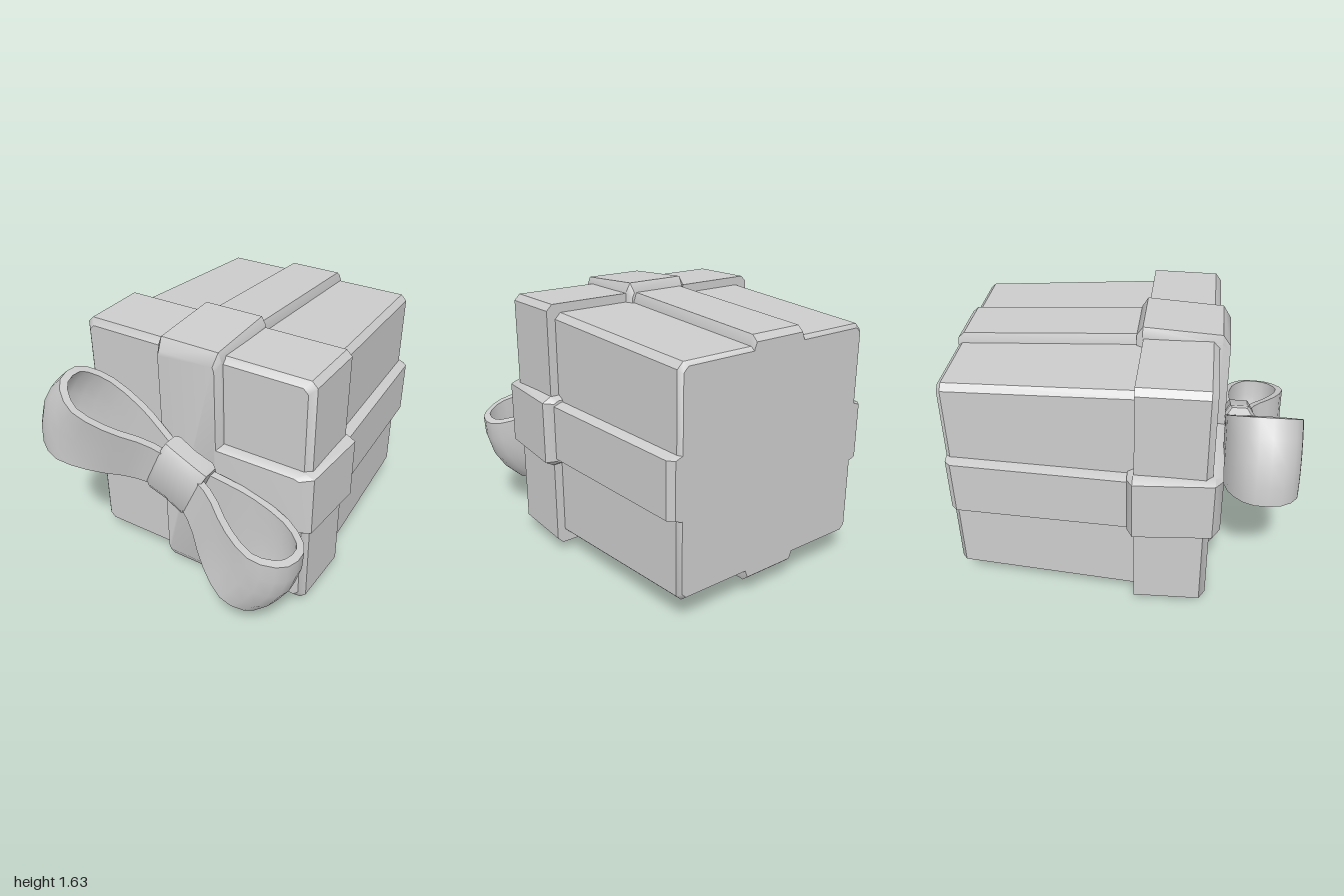
import * as THREE from 'three';
import { toCreasedNormals } from 'three/addons/utils/BufferGeometryUtils.js';

const MID = 0.815; // height of the box axis
const material = new THREE.MeshStandardMaterial({ color: 0xcccccc });

// Skins a list of equal-length rings and closes both ends with fans.
function loft(rings, crease) {
  const n = rings[0].length, pos = [], index = [];
  rings.forEach(r => r.forEach(p => pos.push(...p)));
  for (let i = 0; i < rings.length - 1; i++) {
    for (let j = 0; j < n; j++) {
      const a = i * n + j, b = i * n + (j + 1) % n;
      index.push(a, b, b + n, a, b + n, a + n);
    }
  }
  const last = (rings.length - 1) * n;
  for (let j = 1; j < n - 1; j++) {
    index.push(0, j + 1, j, last, last + j, last + j + 1);
  }
  const g = new THREE.BufferGeometry();
  g.setAttribute('position', new THREE.Float32BufferAttribute(pos, 3));
  g.setIndex(index);
  return toCreasedNormals(g, crease);
}

// Rectangle with cut corners at depth z: half sizes w, h and corner insets cw, ch.
function ring(z, w, h, cw, ch) {
  const x = w - cw, y = h - ch;
  return [[x, h], [-x, h], [-w, y], [-w, -y], [-x, -h], [x, -h], [w, -y], [w, y]]
    .map(([px, py]) => [px, py, z]);
}

function addMesh(parent, name, geometry) {
  const mesh = new THREE.Mesh(geometry, material);
  mesh.name = name;
  parent.add(mesh);
  return mesh;
}

// One bow loop: a crowned band with thickness, swept from the knot out and back.
function bowLoop() {
  const path = new THREE.CatmullRomCurve3([
    [0.06, 0.61], [0.22, 0.585], [0.42, 0.565], [0.68, 0.605], [0.82, 0.72],
    [0.80, 0.89], [0.64, 0.985], [0.43, 0.92], [0.22, 0.78], [0.06, 0.72],
  ].map(([a, z]) => new THREE.Vector3(a, 0, z)));
  const rings = [], steps = 22, across = [-1, -0.55, 0, 0.55, 1], thick = 0.045;
  for (let i = 0; i <= steps; i++) {
    const p = path.getPoint(i / steps), t = path.getTangent(i / steps);
    const w = 0.115 + 0.15 * p.x;
    const crown = 0.06 * THREE.MathUtils.smoothstep(p.x, 0.3, 0.8);
    const side = d => across.map(s => [
      p.x - t.z * d + crown * (1 - s * s), s * w, p.z + t.x * d,
    ]);
    rings.push([...side(0), ...side(thick).reverse()]);
  }
  return loft(rings, 0.9);
}

export function createModel() {
  const model = new THREE.Group();
  model.name = 'giftBox';

  const box = new THREE.Group();
  box.name = 'box';
  box.position.y = MID;
  model.add(box);

  // Tapered body and the wider lid at the front
  addMesh(box, 'body', loft([
    ring(-1, 0.635, 0.635, 0.03, 0.03),
    ring(-0.975, 0.655, 0.655, 0.035, 0.035),
    ring(0.3, 0.712, 0.712, 0.035, 0.035),
  ], 0.6));
  addMesh(box, 'lid', loft([
    ring(0.08, 0.755, 0.755, 0.035, 0.035),
    ring(0.475, 0.75, 0.75, 0.035, 0.035),
    ring(0.51, 0.715, 0.715, 0.03, 0.03),
  ], 0.6));

  // Crossing ribbon bands, upright and level
  const bodyBand = loft([
    ring(-1, 0.18, 0.68, 0.015, 0.04),
    ring(-0.965, 0.183, 0.712, 0.018, 0.05),
    ring(0.2, 0.183, 0.768, 0.018, 0.05),
  ], 0.6);
  const lidBand = loft([
    ring(0.04, 0.195, 0.76, 0.015, 0.03),
    ring(0.075, 0.215, 0.815, 0.028, 0.05),
    ring(0.525, 0.205, 0.785, 0.02, 0.05),
    ring(0.57, 0.185, 0.715, 0.01, 0.03),
  ], 0.6);
  for (const [name, angle] of [['upright', 0], ['level', Math.PI / 2]]) {
    addMesh(box, name + 'BodyRibbon', bodyBand).rotation.z = angle;
    addMesh(box, name + 'LidRibbon', lidBand).rotation.z = angle;
  }

  // Tilted bow on the front
  const bow = new THREE.Group();
  bow.name = 'bow';
  bow.position.y = MID;
  bow.rotation.z = -0.436;
  model.add(bow);
  const loopGeometry = bowLoop();
  addMesh(bow, 'leftLoop', loopGeometry);
  addMesh(bow, 'rightLoop', loopGeometry).rotation.z = Math.PI;

  // Knot wrapped round the middle, slightly waisted
  const knot = addMesh(bow, 'knot', loft([
    ring(-0.15, 0.085, 0.18, 0.04, 0.06),
    ring(-0.12, 0.097, 0.19, 0.04, 0.06),
    ring(0, 0.092, 0.183, 0.04, 0.06),
    ring(0.12, 0.097, 0.19, 0.04, 0.06),
    ring(0.15, 0.085, 0.18, 0.04, 0.06),
  ], 0.9));
  knot.rotation.y = Math.PI / 2;
  knot.position.z = 0.66;

  return model;
}
